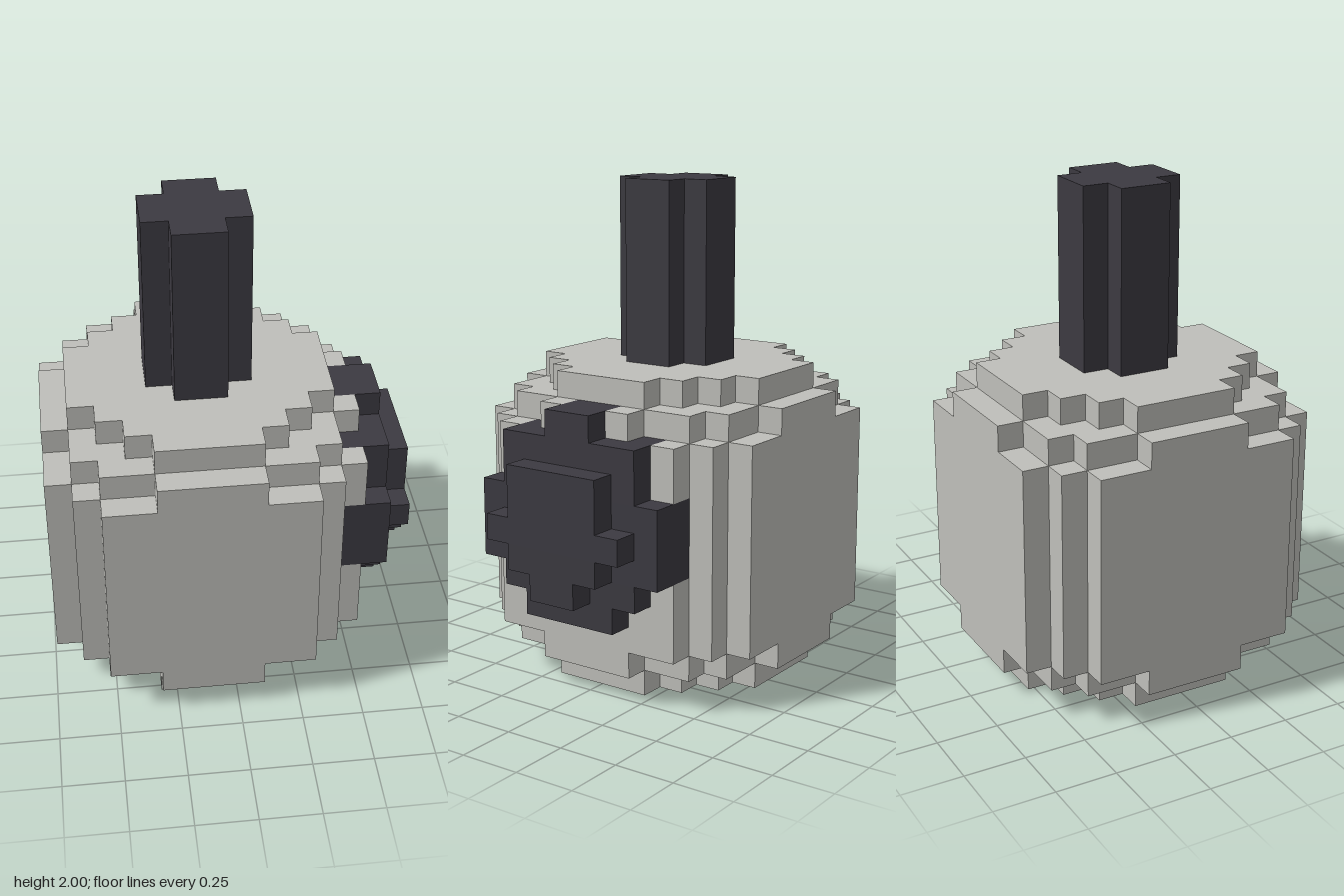
import * as THREE from 'three';
import { mergeGeometries } from 'three/addons/utils/BufferGeometryUtils.js';

const U = 2 / 19; // size of one block

// Box given by its bounds in blocks
function block(x0, x1, y0, y1, z0, z1) {
  return new THREE.BoxGeometry((x1 - x0) * U, (y1 - y0) * U, (z1 - z0) * U)
    .translate((x0 + x1) / 2 * U, (y0 + y1) / 2 * U, (z0 + z1) / 2 * U);
}

function part(name, boxes, material) {
  const mesh = new THREE.Mesh(mergeGeometries(boxes), material);
  mesh.name = name;
  return mesh;
}

export function createModel() {
  const grey = new THREE.MeshStandardMaterial({ color: 0xbfbfba });
  grey.name = 'light grey';
  const dark = new THREE.MeshStandardMaterial({ color: 0x3c3a41 });
  dark.name = 'charcoal';
  const model = new THREE.Group();

  // Rounded body: stacked layers, each a union of [half width, half depth] boxes
  const mid = -1, sideX = 4;
  const cap = [[5, 2], [4, 3], [3, 4], [2, 5]];
  const shoulder = [[6, 2], [5, 4], [4, 5], [2, 6]];
  const wall = [[6, 4], [5, 5], [4, 6]];
  const layers = [[0, 1, cap], [1, 2, shoulder], [2, 10, wall], [10, 11, shoulder], [11, 12, cap]];
  const body = [];
  for (const [y0, y1, sizes] of layers)
    for (const [w, d] of sizes)
      body.push(block(mid - w, Math.min(mid + w, sideX), y0, y1, -d, d));
  model.add(part('body', body, grey));

  // Outermost body layer on the +x side, left open where the disc is set in
  const rim = [block(4, 5, 1, 2, -2, 2), block(4, 5, 2, 3, -4, 4)];
  for (const [y0, y1, z0, z1] of [[3, 4, 2, 4], [4, 5, 3, 4], [8, 10, 3, 4], [10, 11, 1, 2]])
    rim.push(block(4, 5, y0, y1, z0, z1), block(4, 5, y0, y1, -z1, -z0));
  model.add(part('discSurround', rim, grey));

  // Side disc and its raised centre, as rows of [bottom, top, half depth]
  const disc = [[3, 4, 2], [4, 5, 3], [5, 8, 4], [8, 10, 3], [10, 11, 1]];
  model.add(part('sideDisc', disc.map(([a, b, d]) => block(4, 6, a, b, -d, d)), dark));
  const boss = [[4, 5, 1], [5, 6, 2], [6, 7, 3], [7, 9, 2]];
  model.add(part('discCentre', boss.map(([a, b, d]) => block(6, 7, a, b, -d, d)), dark));

  // Cross-shaped post on top
  model.add(part('post', [
    block(mid - 2, mid + 2, 12, 19, -1, 1),
    block(mid - 1, mid + 1, 12, 19, -2, 2),
  ], dark));

  return model;
}
